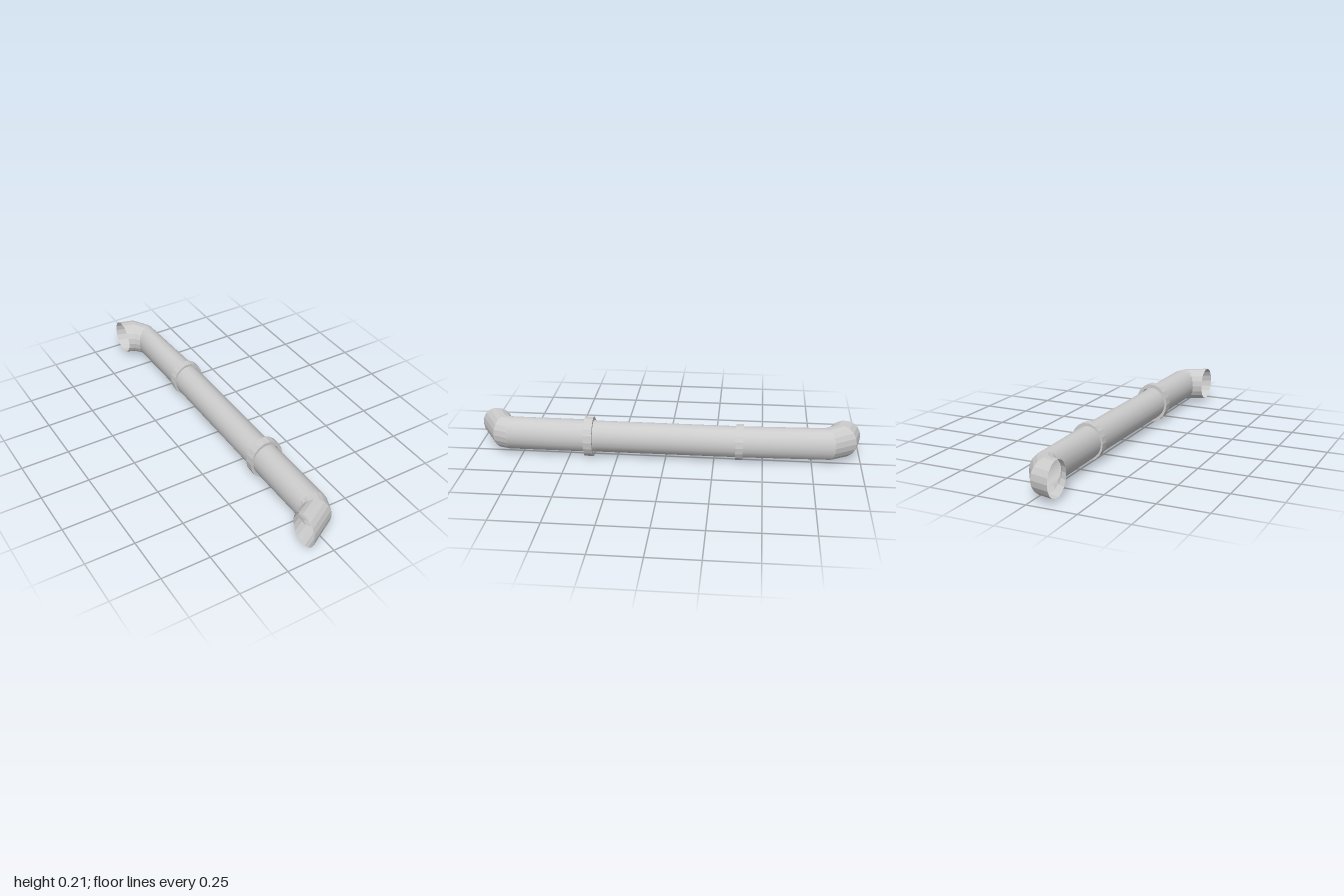
import * as THREE from 'three';
import { mergeVertices } from 'three/addons/utils/BufferGeometryUtils.js';

const SIDES = 18;

// Stations: [outer x, outer z, inner x, inner z, half height, centre y]
const frontElbow = [
  [-0.107, 0.99, -0.107, 0.825, 0.088, 0.107],
  [0.055, 0.895, -0.062, 0.803, 0.088, 0.107],
  [0.085, 0.82, -0.063, 0.79, 0.087, 0.108],
];
const body = [
  [0.085, 0.82, -0.063, 0.79, 0.087, 0.108],
  [0.085, 0.4, -0.063, 0.4, 0.086, 0.108],
  [0.083, 0.35, -0.063, 0.35, 0.083, 0.106],
  [0.083, -0.4, -0.06, -0.4, 0.082, 0.106],
  [0.06, -0.865, -0.06, -0.79, 0.085, 0.107],
];
const backElbow = [
  [0.06, -0.865, -0.06, -0.79, 0.085, 0.107],
  [-0.01, -0.975, -0.078, -0.815, 0.088, 0.107],
  [-0.107, -1, -0.107, -0.83, 0.088, 0.107],
];

// Open skin through elliptical cross-sections
function skin(stations) {
  const positions = [];
  const index = [];
  for (const [ox, oz, ix, iz, ry, cy] of stations) {
    for (let j = 0; j < SIDES; j++) {
      const a = (j / SIDES) * Math.PI * 2;
      const t = (1 - Math.cos(a)) / 2;
      positions.push(ox + (ix - ox) * t, cy + ry * Math.sin(a), oz + (iz - oz) * t);
    }
  }
  for (let s = 0; s < stations.length - 1; s++) {
    for (let j = 0; j < SIDES; j++) {
      const a = s * SIDES + j;
      const b = s * SIDES + ((j + 1) % SIDES);
      index.push(a, a + SIDES, b, b, a + SIDES, b + SIDES);
    }
  }
  const geometry = new THREE.BufferGeometry();
  geometry.setAttribute('position', new THREE.Float32BufferAttribute(positions, 3));
  geometry.setIndex(index);
  const welded = mergeVertices(geometry);
  welded.computeVertexNormals();
  return welded;
}

// Flat-sided collar around the pipe
function collar(rx, ry, width) {
  const h = width / 2;
  const profile = [[0.82, -h], [1, -h], [1, h], [0.82, h], [0.82, -h]];
  const geometry = new THREE.LatheGeometry(profile.map(([r, y]) => new THREE.Vector2(r, y)), SIDES);
  geometry.rotateY(Math.PI / 2);
  geometry.rotateX(Math.PI / 2);
  geometry.scale(rx, ry, 1);
  return geometry;
}

export function createModel() {
  const group = new THREE.Group();
  const smooth = new THREE.MeshStandardMaterial({ color: 0xcccccc, side: THREE.DoubleSide });
  const faceted = new THREE.MeshStandardMaterial({ color: 0xcccccc, side: THREE.DoubleSide, flatShading: true });

  const add = (name, geometry, material, x = 0, y = 0, z = 0) => {
    const mesh = new THREE.Mesh(geometry, material);
    mesh.name = name;
    mesh.position.set(x, y, z);
    group.add(mesh);
  };

  // Pipe with its two open elbows
  add('pipe', skin(body), smooth);
  add('frontElbow', skin(frontElbow), faceted);
  add('backElbow', skin(backElbow), faceted);

  // Collars over the joints
  add('frontCollar', collar(0.09, 0.106, 0.045), faceted, 0.015, 0.106, 0.395);
  add('backCollar', collar(0.085, 0.095, 0.038), faceted, 0.015, 0.106, -0.38);

  return group;
}
